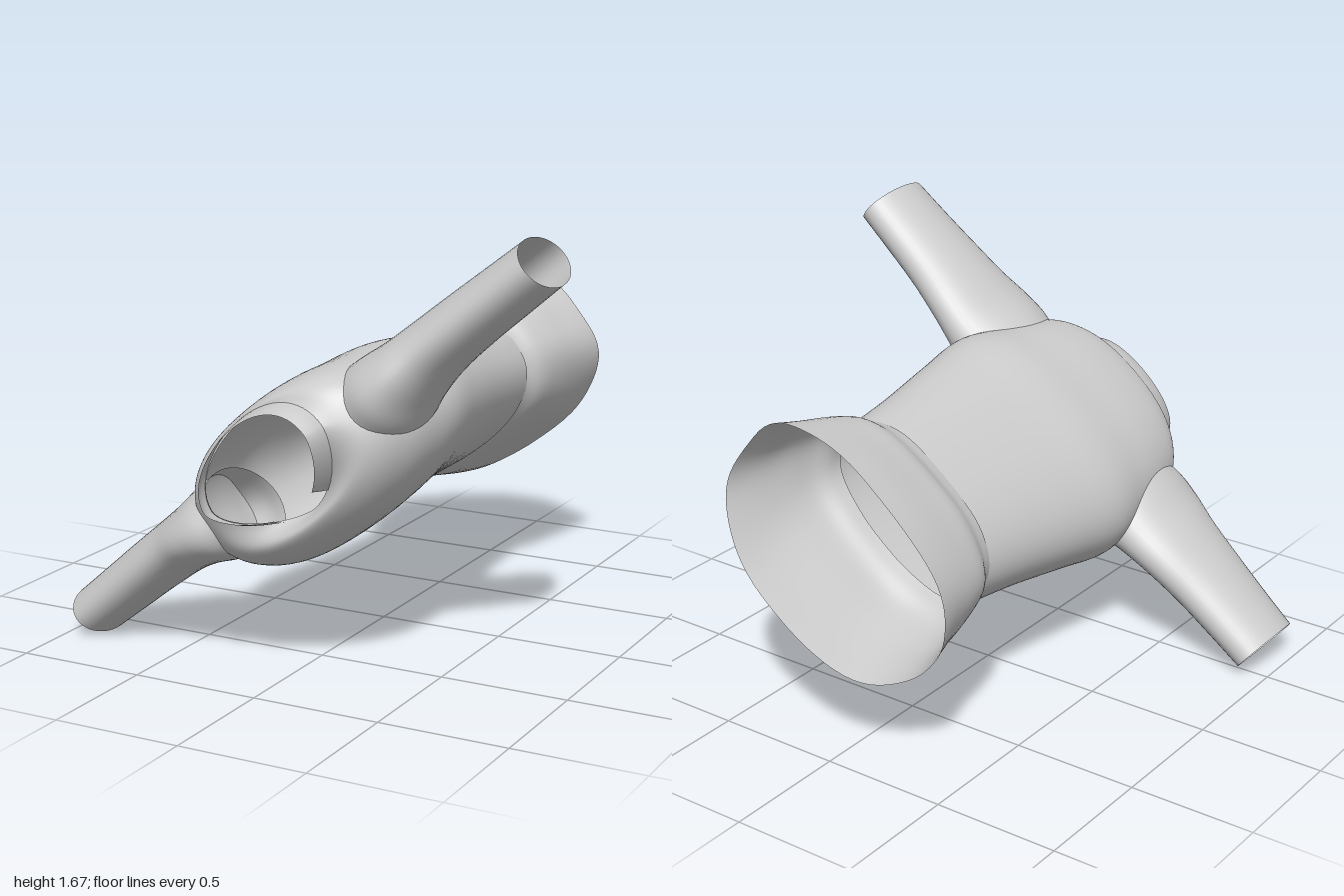
import * as THREE from 'three';

const material = new THREE.MeshStandardMaterial({ color: 0xcccccc, side: THREE.DoubleSide });

// Point on a superellipse (exponent 2 is round, higher is boxier)
function oval(t, a, b, n = 2) {
  const c = Math.cos(t), s = Math.sin(t), e = 2 / n;
  return [a * Math.sign(c) * Math.abs(c) ** e, b * Math.sign(s) * Math.abs(s) ** e];
}

// How far an angle points to the garment's front (-y), 0 to 1
const frontness = (t) => Math.max(0, -Math.sin(t));

// Neckline outline, narrowing to the front, and its rise at the shoulders
const neckOval = (t, a, b) => oval(t, a, b, Math.sin(t) < 0 ? 1.6 : 2);
const neckRise = (t) => 0.05 * Math.cos(t) ** 2 - 0.07 * frontness(t) ** 2;

// Smooth open cloth through key sections; point(key, angle, index) gives a Vector3
function loft(name, keys, point, rows, cols, from = 0, to = Math.PI * 2) {
  const closed = to - from > 6.28;
  const perRow = closed ? cols : cols + 1;
  const positions = [], index = [];
  const curves = [];
  for (let j = 0; j < perRow; j++) {
    const t = from + ((to - from) * j) / cols;
    curves.push(new THREE.CatmullRomCurve3(keys.map((k, i) => point(k, t, i))));
  }
  for (let i = 0; i <= rows; i++) {
    for (const curve of curves) positions.push(...curve.getPoint(i / rows).toArray());
  }
  for (let i = 0; i < rows; i++) {
    for (let j = 0; j < cols; j++) {
      const a = i * perRow + j, b = i * perRow + ((j + 1) % perRow);
      index.push(a, b, b + perRow, a, b + perRow, a + perRow);
    }
  }
  const geometry = new THREE.BufferGeometry();
  geometry.setAttribute('position', new THREE.Float32BufferAttribute(positions, 3));
  geometry.setIndex(index);
  geometry.computeVertexNormals();
  const mesh = new THREE.Mesh(geometry, material);
  mesh.name = name;
  return mesh;
}

export function createModel() {
  // Garment frame: x across the shoulders, -y its front, z from hem to neck
  const garment = new THREE.Group();
  garment.name = 'garment';

  // Bodice keys: z, half width, half depth, depth offset
  const bodice = [
    [-0.48, 0.4, 0.24, -0.015],
    [-0.2, 0.435, 0.25, -0.01],
    [0.1, 0.485, 0.27, -0.01],
    [0.33, 0.52, 0.295, -0.015],
    [0.5, 0.5, 0.3, -0.025],
    [0.68, 0.475, 0.295, -0.025],
    [0.8, 0.435, 0.265, -0.01],
    [0.86, 0.37, 0.225, 0.01],
  ];
  const neck = [0.86, 0.29, 0.2, 0.025];
  garment.add(loft('bodice', [...bodice, neck], (key, t) => {
    const [z, a, b, y] = key;
    const [px, py] = key === neck ? neckOval(t, a, b) : oval(t, a, b, 2.3);
    const rise = key === neck ? neckRise(t) : 0;
    return new THREE.Vector3(px, py + y, z + rise);
  }, 48, 72));

  // Flared skirt panel with a dipping front hem and faint folds
  const skirt = [
    [-0.44, 0.385, 0.23, 0],
    [-0.49, 0.4, 0.245, 0],
    [-0.55, 0.44, 0.275, 0.1],
    [-0.65, 0.47, 0.295, 0.3],
    [-0.78, 0.495, 0.32, 0.7],
    [-0.89, 0.525, 0.335, 1],
  ];
  garment.add(loft('skirt', skirt, ([z, a, b, dip], t, i) => {
    const fold = 1 + 0.008 * Math.sin(7 * t + i);
    const [px, py] = oval(t, a * fold, b * fold, 2.5);
    return new THREE.Vector3(px, py, z - 0.11 * dip * frontness(t) ** 1.5);
  }, 24, 72));

  // Sleeve keys: distance from centre, z centre, half height in z, half depth, depth offset
  const sleeve = [
    [0.36, 0.62, 0.23, 0.17, 0],
    [0.45, 0.62, 0.255, 0.16, 0.005],
    [0.55, 0.615, 0.25, 0.135, 0.02],
    [0.68, 0.6, 0.225, 0.118, 0.035],
    [0.85, 0.6, 0.2, 0.11, 0.04],
    [1.02, 0.6, 0.185, 0.105, 0.04],
    [1.195, 0.6, 0.175, 0.1, 0.04],
  ];
  for (const side of [1, -1]) {
    garment.add(loft(side > 0 ? 'leftSleeve' : 'rightSleeve', sleeve, ([x, z, hz, hy, y], t) => {
      const [py, pz] = oval(t, hy, hz);
      return new THREE.Vector3(side * x, side * py + y, z + pz);
    }, 28, 40));
  }

  // Standing collar, leaning inward and open at the front of the neck
  const collar = [
    [0.85, 0.295, 0.21],
    [0.9, 0.285, 0.2],
    [0.945, 0.265, 0.185],
  ];
  const gap = 0.48;
  garment.add(loft('collar', collar, ([z, a, b], t) => {
    const [px, py] = neckOval(t, a, b);
    return new THREE.Vector3(px, py + 0.025, z + neckRise(t));
  }, 6, 48, -Math.PI / 2 + gap, Math.PI * 1.5 - gap));

  // Tilt the shoulders so the left sleeve points up
  garment.rotation.z = THREE.MathUtils.degToRad(39.2);
  garment.position.set(0.025, 0.8, 0);

  const model = new THREE.Group();
  model.name = 'model';
  model.add(garment);
  return model;
}
